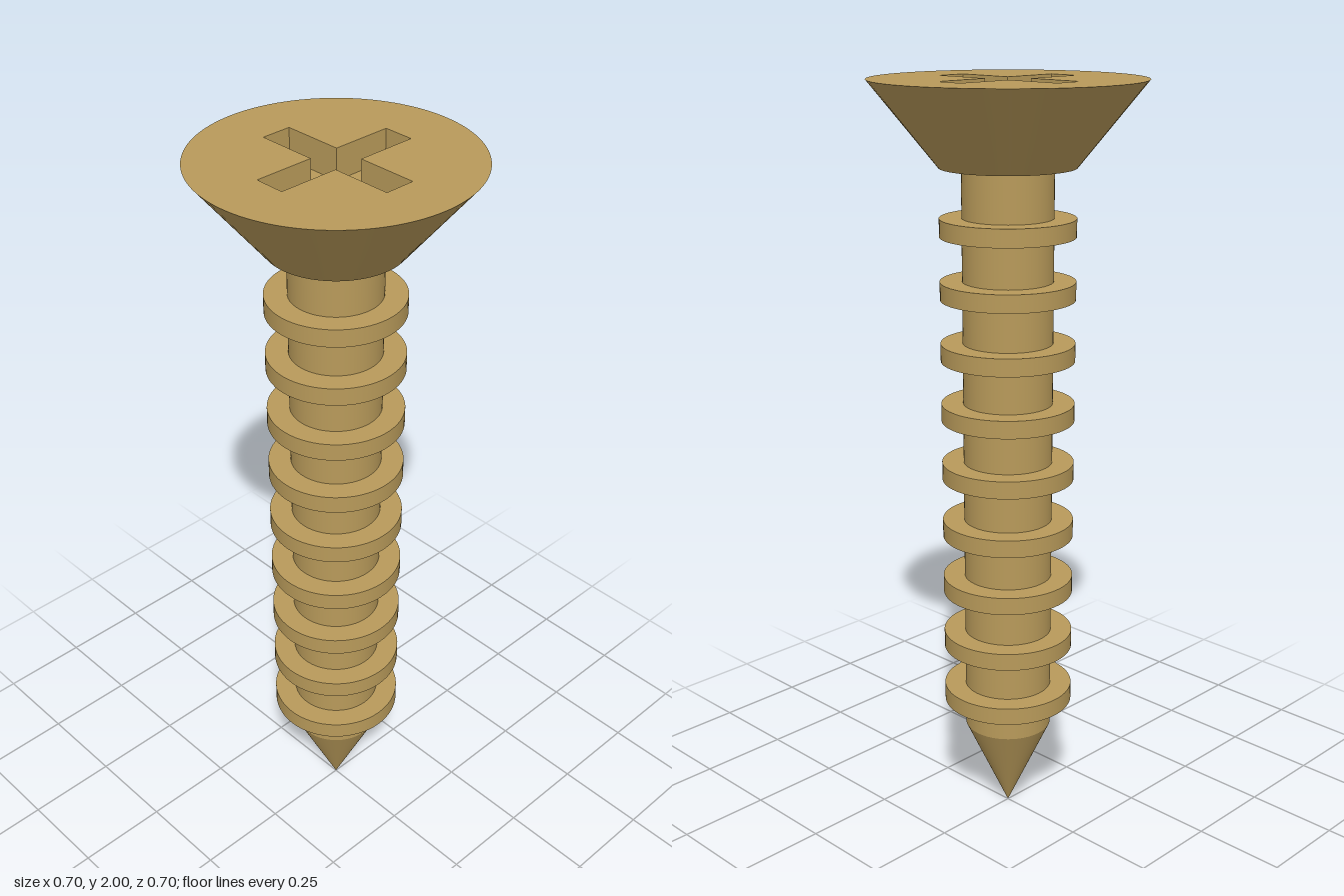
import * as THREE from 'three';

const SEG = 64;
const SHANK_R = 0.117, RIDGE_R = 0.174, HEAD_R = 0.348;
const TIP_Y = 0.255, HEAD_Y = 1.786, TOP_Y = 2, RECESS_DEPTH = 0.08;

// Cross outline, counter-clockwise: three corners per quarter turn
function crossPoints(long, half) {
  const points = [];
  for (let i = 0; i < 4; i++) {
    for (const [x, y] of [[long, -half], [long, half], [half, half]]) {
      points.push(new THREE.Vector2(x, y).rotateAround(new THREE.Vector2(), i * Math.PI / 2));
    }
  }
  return points;
}

// Inward-facing walls hanging below a closed outline
function recessWalls(points, depth) {
  const pos = [];
  points.forEach((a, i) => {
    const b = points[(i + 1) % points.length];
    pos.push(a.x, a.y, -depth, b.x, b.y, 0, b.x, b.y, -depth);
    pos.push(a.x, a.y, -depth, a.x, a.y, 0, b.x, b.y, 0);
  });
  const geo = new THREE.BufferGeometry();
  geo.setAttribute('position', new THREE.Float32BufferAttribute(pos, 3));
  geo.computeVertexNormals();
  return geo;
}

export function createModel() {
  const model = new THREE.Group();
  model.name = 'screw';
  const brass = new THREE.MeshStandardMaterial({ color: 0xb89a5a });
  brass.name = 'brass';

  const add = (name, geometry, y, parent = model) => {
    const mesh = new THREE.Mesh(geometry, brass);
    mesh.name = name;
    mesh.position.y = y;
    parent.add(mesh);
    return mesh;
  };

  // Pointed tip and straight shank
  add('tip', new THREE.CylinderGeometry(SHANK_R, 0, TIP_Y, SEG, 1, true), TIP_Y / 2);
  add('shank', new THREE.CylinderGeometry(SHANK_R, SHANK_R, HEAD_Y - TIP_Y, SEG, 1, true), (HEAD_Y + TIP_Y) / 2);

  // Nine evenly spaced thread ridges
  const thread = new THREE.Group();
  thread.name = 'thread';
  model.add(thread);
  const ridge = new THREE.CylinderGeometry(RIDGE_R, RIDGE_R, 0.047, SEG);
  for (let i = 0; i < 9; i++) add('threadRidge', ridge, 0.353 + i * 0.1605, thread);

  // Countersunk head: sloped side, underside and top with a cross-shaped opening
  const head = new THREE.Group();
  head.name = 'head';
  model.add(head);
  add('headSide', new THREE.CylinderGeometry(HEAD_R, RIDGE_R, TOP_Y - HEAD_Y, SEG, 1, true), (TOP_Y + HEAD_Y) / 2, head);
  add('headUnderside', new THREE.CircleGeometry(RIDGE_R, SEG).rotateX(Math.PI / 2), HEAD_Y, head);

  const cross = crossPoints(0.2, 0.04);
  const disc = new THREE.Shape().absarc(0, 0, HEAD_R, 0, Math.PI * 2);
  disc.holes.push(new THREE.Path(cross));
  add('headTop', new THREE.ShapeGeometry(disc, SEG).rotateX(-Math.PI / 2), TOP_Y, head);

  // Driver recess
  add('recessWalls', recessWalls(cross, RECESS_DEPTH).rotateX(-Math.PI / 2), TOP_Y, head);
  add('recessFloor', new THREE.ShapeGeometry(new THREE.Shape(cross)).rotateX(-Math.PI / 2), TOP_Y - RECESS_DEPTH, head);

  return model;
}
